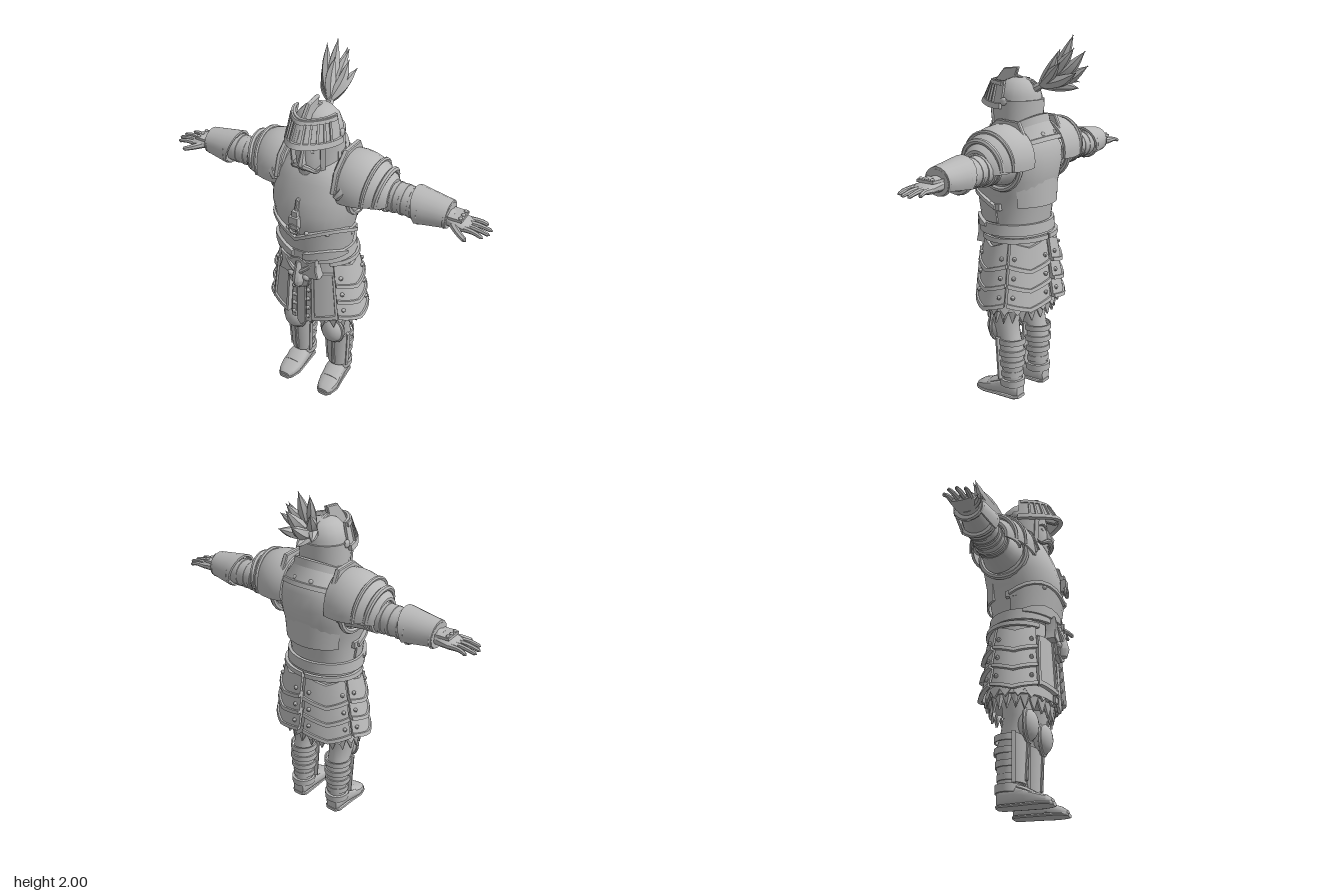
import * as THREE from 'three';
import { toCreasedNormals } from 'three/addons/utils/BufferGeometryUtils.js';

const grey = new THREE.MeshStandardMaterial({ color: 0xb8b8b8 });
grey.name = 'plain grey';
const V = (p) => new THREE.Vector3(...p);
const lerp = THREE.MathUtils.lerp;

// Moves every vertex of a geometry by a rule
function move(geo, rule) {
  const p = geo.attributes.position;
  for (let i = 0; i < p.count; i++) p.setXYZ(i, ...rule(p.getX(i), p.getY(i), p.getZ(i), i));
  return geo;
}
// Solid through elliptical sections [position, centreP, centreR, radiusP, radiusR] along an axis
function loft(sections, axis = 'y', seg = 20, power = 1) {
  const n = sections.length - 1;
  const shape = (c) => Math.sign(c) * Math.abs(c) ** power;
  return move(new THREE.CylinderGeometry(1, 1, 1, seg, n), (x, y, z) => {
    const [q, cp, cr, rp, rr] = sections[Math.round((y + 0.5) * n)];
    const a = cp + rp * shape(x), b = cr + rr * shape(z);
    return axis === 'y' ? [a, q, b] : axis === 'x' ? [q, b, a] : [b, a, q];
  });
}
// Curved plate: u runs along its width, v up, t through its thickness
const sheet = (nu, nv, rule) => move(new THREE.BoxGeometry(1, 1, 1, nu, nv, 1),
  (x, y, z) => rule(x + 0.5, y + 0.5, z + 0.5));
// Plate round a vertical axis; edges are [y, rx, rz] or a function of u; angles from the front
function wrap(a0, a1, bottom, top, { cx = 0, cz = 0.05, th = 0.015, nu = 0, nv = 2 } = {}) {
  const edge = (e, u) => (typeof e === 'function' ? e(u) : e);
  return sheet(nu || Math.max(2, Math.ceil((a1 - a0) / 12)), nv, (u, v, t) => {
    const b = edge(bottom, u), c = edge(top, u), a = lerp(a0, a1, u) * Math.PI / 180;
    return [cx + (lerp(b[1], c[1], v) + t * th) * Math.sin(a), lerp(b[0], c[0], v),
      cz + (lerp(b[2], c[2], v) + t * th) * Math.cos(a)];
  });
}
// Tube along points with a radius rule
function tube(points, r, taper = () => 1, n = 10, sides = 7) {
  const curve = new THREE.CatmullRomCurve3(points.map(V));
  return move(new THREE.TubeGeometry(curve, n, r, sides), (x, y, z, i) => {
    const t = Math.floor(i / (sides + 1)) / n, c = curve.getPointAt(t);
    return new THREE.Vector3(x, y, z).sub(c).multiplyScalar(taper(t)).add(c).toArray();
  });
}
const outline = (pts) => new THREE.Shape(pts.map((p) => new THREE.Vector2(...p)));
const extrude = (pts, depth) => new THREE.ExtrudeGeometry(outline(pts), { depth, bevelEnabled: true, bevelSize: 0.005, bevelThickness: 0.005, bevelSegments: 1 });
// Outline given in (z, y), extruded across x
const profile = (pts, x, w) => extrude(pts, w).translate(0, 0, -w / 2).rotateY(-Math.PI / 2).translate(x, 0, 0);
const ball = (p, r, s = [1, 1, 1], seg = 10) => new THREE.SphereGeometry(r, seg, Math.ceil(seg * 0.7)).scale(...s).translate(...p);
const box = (p, s) => new THREE.BoxGeometry(...s).translate(...p);

export function createModel() {
  const model = new THREE.Group();
  model.name = 'armouredKnight';
  const add = (name, geo) => {
    const mesh = new THREE.Mesh(toCreasedNormals(geo, 0.65), grey);
    mesh.name = name;
    model.add(mesh);
    return mesh;
  };
  // Adds a part on the left and its mirror image on the right
  const pair = (name, geo) => {
    const left = add('left ' + name, geo), g = left.geometry.clone();
    for (const key of ['position', 'normal']) {
      const at = g.attributes[key], src = left.geometry.attributes[key];
      for (let i = 0; i < at.count; i++) {
        const j = i % 3 === 0 ? i : i % 3 === 1 ? i + 1 : i - 1;
        at.setXYZ(i, -src.getX(j), src.getY(j), src.getZ(j));
      }
    }
    const right = new THREE.Mesh(g, grey);
    right.name = 'right ' + name;
    model.add(right);
  };

  // Torso
  add('breastplate', loft([[1.0, 0, 0.075, 0.195, 0.17], [1.1, 0, 0.075, 0.2, 0.185], [1.18, 0, 0.075, 0.215, 0.2],
    [1.26, 0, 0.068, 0.235, 0.21], [1.34, 0, 0.05, 0.24, 0.205], [1.42, 0, 0.04, 0.235, 0.185], [1.48, 0, 0.035, 0.19, 0.16], [1.53, 0, 0.04, 0.12, 0.11]], 'y', 28, 0.9));
  add('chestRidge', profile([[0.2, 1.36], [0.265, 1.34], [0.293, 1.25], [0.282, 1.18], [0.265, 1.06], [0.2, 1.06]], 0, 0.008));
  const bellyTop = (u) => [1.13 + 0.06 * Math.abs(Math.sin(u * Math.PI * 2)), 0.213, 0.203];
  add('bellyPlate', wrap(-95, 95, [1.03, 0.196, 0.18], bellyTop, { cz: 0.072, th: 0.012 }));
  add('bellyRim', wrap(-95, 95, (u) => [bellyTop(u)[0] - 0.02, 0.215, 0.203], bellyTop, { cz: 0.072, th: 0.022, nv: 1 }));
  add('backPlate', wrap(125, 235, [1.12, 0.2, 0.19], [1.4, 0.235, 0.19], { cz: 0.06, th: 0.012 }));
  add('chestClasp', box([0, 1.225, 0.295], [0.05, 0.07, 0.03]));
  add('claspRing', new THREE.TorusGeometry(0.026, 0.009, 6, 12).translate(0, 1.19, 0.305));
  add('claspStrap', box([0, 1.265, 0.287], [0.03, 0.05, 0.025]));
  pair('sideBuckle', box([0.2, 1.12, 0.06], [0.04, 0.035, 0.06]));
  pair('armholeRim', new THREE.TorusGeometry(0.13, 0.016, 7, 24).rotateY(Math.PI / 2).translate(0.222, 1.355, 0.02));
  [[0.11, 1.08, 0.228], [0.15, 1.16, 0.225], [0.055, 1.16, 0.272]].forEach((p) => pair('bellyStud', ball(p, 0.012)));

  // Collar
  const rad = (u) => Math.cos((u - 0.5) * 2 * Math.PI);
  const collarLow = (u) => [1.405 - 0.075 * rad(u), 0.205, 0.18];
  const collarTop = (u) => [1.49 - 0.07 * rad(u), 0.14, 0.135];
  add('collar', wrap(-180, 180, collarLow, collarTop, { cz: 0.045, th: 0.018 }));
  add('collarRim', wrap(-180, 180, (u) => [collarLow(u)[0] - 0.008, 0.212, 0.187], (u) => [collarLow(u)[0] + 0.014, 0.203, 0.178], { cz: 0.045, th: 0.022, nv: 1 }));
  add('neckBand', wrap(-180, 180, collarTop, (u) => [1.53 - 0.07 * rad(u), 0.132, 0.127], { cz: 0.045, th: 0.018, nv: 1 }));
  add('collarStud', ball([0, 1.365, 0.222], 0.015));
  [[0.09, 1.37, 0.2], [0.15, 1.4, 0.15], [0.13, 1.475, -0.085], [0.05, 1.5, -0.125]].forEach((p) => pair('collarStud', ball(p, 0.014)));
  pair('collarClasp', tube([[0.2, 1.46, 0.13], [0.205, 1.41, 0.165], [0.175, 1.37, 0.19]], 0.024, (t) => 0.7 + 0.5 * Math.sin(t * Math.PI)));

  // Shoulders
  const dome = (x0, x1, R, drop) => sheet(18, 6, (u, v, t) => {
    const a = (u - 0.5) * 2 * 1.75, r = R * Math.sqrt(1 - ((v - 0.3) / 0.9) ** 2) + t * 0.015;
    return [lerp(x0, x1, v), 1.375 - drop + r * Math.cos(a), 0.02 + 0.93 * r * Math.sin(a)];
  });
  pair('shoulderPlate', dome(0.14, 0.375, 0.172, 0));
  pair('lowerShoulderPlate', dome(0.29, 0.415, 0.125, 0.012));
  const arc = (x, flare, R) => Array.from({ length: 9 }, (_, i) => {
    const a = (i / 8 - 0.5) * 3.5;
    return [x + flare * Math.cos(a), 1.375 + R * Math.cos(a), 0.02 + R * 0.95 * Math.sin(a)];
  });
  pair('shoulderRim', tube(arc(0.365, 0.025, 0.125), 0.015, () => 1, 20));
  pair('shoulderBand', tube(arc(0.31, 0.02, 0.162), 0.011, () => 1, 20));
  pair('neckGuard', profile([[0.2, 1.4], [0.165, 1.5], [0.07, 1.575], [-0.06, 1.57], [-0.11, 1.47], [0.05, 1.4]], 0.165, 0.018));

  // Arms, gauntlets and hands
  pair('arm', loft([[0.18, 0.02, 1.36, 0.125, 0.12], [0.28, 0.01, 1.36, 0.1, 0.1], [0.37, 0.005, 1.355, 0.085, 0.082], [0.45, 0.005, 1.36, 0.08, 0.077],
    [0.55, 0.005, 1.355, 0.082, 0.075], [0.66, 0.01, 1.35, 0.062, 0.052], [0.74, 0.015, 1.345, 0.045, 0.035]], 'x', 18));
  [[0.35, 0.093], [0.385, 0.092], [0.425, 0.085], [0.47, 0.083], [0.52, 0.083]].forEach(([x, r], i) => pair('armBand',
    loft([[x - 0.012, 0.005, 1.357, r - 0.008, r - 0.01], [x - 0.008, 0.005, 1.357, r, r - 0.003], [x + 0.008, 0.005, 1.357, r, r - 0.003], [x + 0.012, 0.005, 1.357, r - 0.008, r - 0.01]], 'x', 18)));
  pair('gauntletCuff', sheet(12, 3, (u, v, t) => {
    const a = (u - 0.5) * 4.2, r = lerp(0.093, 0.065, v) + t * 0.013;
    return [lerp(0.55 - 0.025 * Math.cos(a), 0.715, v), 1.355 + r * Math.cos(a) * 0.95, 0.01 + r * Math.sin(a)];
  }));
  [[0.575, 0.093], [0.705, 0.072]].forEach(([x, r]) => pair('gauntletRim', loft([[x - 0.011, 0.01, 1.352, r, r * 0.9], [x, 0.01, 1.352, r + 0.01, r * 0.95], [x + 0.011, 0.01, 1.352, r, r * 0.9]], 'x', 16)));
  pair('hand', loft([[0.7, 0.015, 1.347, 0.05, 0.033], [0.75, 0.015, 1.343, 0.06, 0.03], [0.8, 0.018, 1.337, 0.062, 0.024], [0.83, 0.018, 1.333, 0.055, 0.014]], 'x', 14, 0.8));
  pair('handPlate', box([0.755, 1.371, 0.015], [0.075, 0.014, 0.1]));
  [-0.02, 0.015, 0.05].forEach((z) => pair('knuckleStud', ball([0.78, 1.378, z], 0.011, [1, 1, 1], 8)));
  const tip = (t) => (t > 0.99 ? 0 : 1 - 0.4 * t);
  [[-0.03, -0.045, 0.895], [0.002, -0.005, 0.93], [0.034, 0.035, 0.93], [0.062, 0.075, 0.91]].forEach(([z0, z1, x]) =>
    pair('finger', tube([[0.8, 1.337, z0], [0.86, 1.338, (z0 + z1) / 2], [x, 1.325, z1]], 0.0155, tip)));
  pair('thumb', tube([[0.745, 1.34, 0.055], [0.79, 1.33, 0.095], [0.845, 1.315, 0.125]], 0.02, tip));

  // Head
  add('face', loft([[1.4, 0, 0.15, 0.02, 0.03], [1.44, 0, 0.13, 0.055, 0.075], [1.5, 0, 0.11, 0.078, 0.1], [1.56, 0, 0.1, 0.085, 0.112], [1.62, 0, 0.1, 0.085, 0.1], [1.68, 0, 0.1, 0.08, 0.1]], 'y', 18));
  add('nose', loft([[1.52, 0, 0.215, 0.02, 0.026], [1.535, 0, 0.215, 0.02, 0.03], [1.61, 0, 0.195, 0.009, 0.014]], 'y', 8));
  add('beard', loft([[1.4, 0, 0.18, 0.012, 0.012], [1.43, 0, 0.175, 0.035, 0.035], [1.48, 0, 0.165, 0.045, 0.04]], 'y', 10));
  add('lowerLip', ball([0, 1.493, 0.203], 0.016, [1.3, 0.5, 0.8]));
  pair('moustache', tube([[0, 1.518, 0.222], [0.035, 1.513, 0.218], [0.07, 1.49, 0.19], [0.09, 1.515, 0.165]], 0.015, (t) => 1 - t ** 2));
  pair('eye', ball([0.036, 1.592, 0.185], 0.013, [1.3, 0.8, 0.8]));
  pair('eyebrow', tube([[0.012, 1.61, 0.203], [0.04, 1.622, 0.195], [0.07, 1.608, 0.165]], 0.01, (t) => 1 - 0.6 * t));

  // Helmet
  add('helmetDome', loft([[1.64, 0, 0.055, 0.128, 0.12], [1.69, 0, 0.055, 0.124, 0.117], [1.73, 0, 0.055, 0.108, 0.105], [1.765, 0, 0.055, 0.075, 0.075], [1.78, 0, 0.055, 0.03, 0.035]], 'y', 16));
  add('helmetBack', wrap(75, 285, [1.5, 0.122, 0.105], [1.67, 0.122, 0.112], { cz: 0.055 }));
  add('neckFlare', wrap(85, 275, [1.5, 0.14, 0.125], [1.56, 0.126, 0.11], { cz: 0.055, nv: 1 }));
  pair('cheekGuard', wrap(38, 100, (u) => [1.43 + 0.05 * u, 0.112, 0.11], [1.66, 0.123, 0.13], { cz: 0.06 }));
  pair('cheekRim', wrap(36, 46, [1.44, 0.118, 0.115], [1.65, 0.128, 0.135], { cz: 0.06, th: 0.02 }));
  pair('helmetHinge', ball([0.135, 1.665, 0.06], 0.022, [0.6, 1, 1]));
  const beak = (u, a0, a1) => 0.055 * Math.max(0, Math.cos(lerp(a0, a1, u) * Math.PI / 180)) ** 4;
  const visorBand = (a0, a1, y0, y1, th) => {
    const at = (y) => (u) => {
      const k = (y - 1.63) / 0.15, b = beak(u, a0, a1);
      return [y + 0.4 * b * (1 - k), lerp(0.13, 0.1, k), lerp(0.155, 0.115, k) + b * (1 - 0.6 * k)];
    };
    return wrap(a0, a1, at(y0), at(y1), { cz: 0.06, th, nv: 3 });
  };
  add('visor', visorBand(-85, 85, 1.63, 1.77, 0.014));
  add('visorBrow', visorBand(-85, 85, 1.627, 1.655, 0.027));
  add('visorTopBand', visorBand(-80, 80, 1.745, 1.765, 0.022));
  [11, 23, 35, 47, 59].forEach((a) => pair('visorBar', visorBand(a, a + 4, 1.65, 1.75, 0.024)));
  add('helmetCrest', profile([[0.275, 1.655], [0.24, 1.72], [0.15, 1.82], [0.065, 1.83], [0.08, 1.79], [-0.045, 1.755], [-0.05, 1.72], [0.1, 1.71], [0.25, 1.64]], 0, 0.014));

  // Plume: each feather is [middle, tip, width]
  add('plumeHolder', tube([[0, 1.71, -0.02], [-0.005, 1.735, -0.055], [-0.015, 1.75, -0.085]], 0.026, (t) => 1 - 0.3 * t));
  [[[-0.05, 1.86, -0.17], [-0.06, 2.0, -0.235], 0.034], [[-0.08, 1.86, -0.16], [-0.105, 1.98, -0.205], 0.03],
    [[-0.02, 1.84, -0.18], [-0.015, 1.94, -0.27], 0.032], [[0.015, 1.83, -0.15], [0.025, 1.92, -0.2], 0.028],
    [[0.02, 1.8, -0.15], [0.055, 1.87, -0.23], 0.028], [[-0.04, 1.82, -0.21], [-0.05, 1.925, -0.315], 0.036],
    [[-0.09, 1.82, -0.17], [-0.135, 1.9, -0.24], 0.032], [[-0.06, 1.785, -0.21], [-0.08, 1.85, -0.315], 0.036],
    [[-0.01, 1.775, -0.2], [0.01, 1.82, -0.3], 0.034], [[-0.09, 1.775, -0.16], [-0.135, 1.76, -0.23], 0.03],
    [[-0.05, 1.745, -0.18], [-0.07, 1.735, -0.27], 0.032], [[-0.04, 1.84, -0.13], [-0.04, 1.93, -0.17], 0.03]].forEach(([mid, end, w]) =>
    add('feather', tube([[-0.01, 1.745, -0.07], mid, end], w, (t) => 0.25 + 0.75 * Math.sin(Math.PI * Math.min(1, t * 0.85 + 0.1)) - 0.46 * t ** 4, 10, 6)));

  // Belt and lion buckle
  add('belt', wrap(-180, 180, [0.965, 0.208, 0.18], [1.025, 0.202, 0.177], { cz: 0.072, th: 0.016, nv: 1 }));
  pair('beltWing', wrap(8, 75, (u) => [0.985 + 0.02 * u, 0.208, 0.185], (u) => [1.02 + 0.03 * Math.sin(u * Math.PI), 0.208, 0.188], { cz: 0.072, th: 0.022, nv: 1 }));
  add('lionMane', extrude([[0, 0.985], [0.05, 0.96], [0.105, 0.995], [0.1, 0.93], [0.115, 0.88], [0.07, 0.87], [0.05, 0.81], [0, 0.785],
    [-0.05, 0.81], [-0.07, 0.87], [-0.115, 0.88], [-0.1, 0.93], [-0.105, 0.995], [-0.05, 0.96]], 0.05).translate(0, 0, 0.215));
  add('lionMuzzle', loft([[0.81, 0, 0.27, 0.025, 0.03], [0.85, 0, 0.27, 0.036, 0.042], [0.89, 0, 0.265, 0.026, 0.037], [0.96, 0, 0.26, 0.017, 0.02]], 'y', 10));
  pair('lionBrow', tube([[0.015, 0.9, 0.275], [0.045, 0.925, 0.273], [0.085, 0.965, 0.262]], 0.014, (t) => 1.1 - 0.6 * t));
  pair('lionCheek', ball([0.045, 0.865, 0.262], 0.025, [1, 0.8, 0.9]));

  // Skirt of cloth and plates
  const rx = (y) => 0.205 + (0.97 - y) * 0.14, rz = (y) => 0.165 + (0.97 - y) * 0.05;
  const ring = (y, out = 0) => [y, rx(y) + out, rz(y) + out];
  add('skirt', loft([0.55, 0.7, 0.85, 0.98].map((y) => [y, 0, 0.05, rx(y) - 0.01, rz(y) - 0.005]), 'y', 28));
  const hem = (teeth, low, high, out) => wrap(-180, 180, (u) => ring(low + (high - low) * Math.abs(((u * teeth) % 1) * 2 - 1), out), ring(0.6, -0.02), { cz: 0.045, th: 0.012, nu: teeth * 2, nv: 1 });
  add('tornHem', hem(22, 0.475, 0.54, -0.045));
  add('upperHem', hem(18, 0.53, 0.575, -0.015));
  const lame = (name, a0, a1, k, dip) => {
    const low = 0.805 - 0.105 * k, vee = (u) => low - dip * (1 - Math.abs(u * 2 - 1));
    const opts = { nu: 8, th: 0.016 };
    pair(name, wrap(a0, a1, (u) => ring(vee(u), 0.012), (u) => ring(vee(u) + 0.13, -0.004), opts));
    pair(name + 'Rim', wrap(a0, a1, (u) => ring(vee(u) - 0.004, 0.016), (u) => ring(vee(u) + 0.016, 0.013), { ...opts, th: 0.023, nv: 1 }));
    [0.12, 0.88].forEach((u) => {
      const a = lerp(a0, a1, u) * Math.PI / 180, y = low + 0.045;
      pair('skirtStud', ball([(rx(y) + 0.026) * Math.sin(a), y, 0.05 + (rz(y) + 0.026) * Math.cos(a)], 0.012, [1, 1, 1], 8));
    });
  };
  for (let k = 2; k >= 0; k--) {
    lame('sidePlate', 46, 112, k, 0.035);
    lame('backSkirtPlate', 116, 177, k, 0.035);
  }
  pair('skirtStrap', wrap(40, 178, ring(0.93, 0.005), ring(0.955, 0.005), { th: 0.018, nv: 1 }));
  pair('frontPlate', wrap(15, 45, (u) => ring(0.575 + 0.025 * u, 0.012), ring(0.88, 0.008), { th: 0.018 }));
  [[15, 18], [42, 45]].forEach(([a, b]) => pair('frontPlateEdge', wrap(a, b, ring(0.59, 0.014), ring(0.87, 0.01), { th: 0.026 })));
  pair('frontPlateHem', wrap(15, 45, (u) => ring(0.572 + 0.025 * u, 0.014), (u) => ring(0.595 + 0.025 * u, 0.014), { th: 0.026, nv: 1 }));
  add('centreStrip', wrap(-5, 5, (u) => ring(0.53 - 0.03 * (1 - Math.abs(u * 2 - 1)), 0.004), ring(0.85, 0.008), { nu: 4 }));
  pair('studdedStrip', wrap(7, 13, ring(0.54, 0.002), ring(0.85, 0.006)));
  [0.58, 0.64, 0.7, 0.76].forEach((y) => pair('stripStud', ball([0.044, y, 0.055 + rz(y) + 0.014], 0.013, [1, 1, 0.8], 8)));

  // Legs
  pair('leg', loft([[0.05, 0.125, 0.015, 0.05, 0.05], [0.12, 0.125, 0.015, 0.052, 0.05], [0.2, 0.125, 0.02, 0.062, 0.062], [0.29, 0.125, 0.025, 0.068, 0.072],
    [0.37, 0.125, 0.045, 0.066, 0.068], [0.45, 0.123, 0.065, 0.074, 0.075], [0.58, 0.115, 0.065, 0.09, 0.09]], 'y', 16));
  pair('kneePlate', ball([0.125, 0.415, 0.115], 0.075, [0.92, 1.15, 0.8], 16));
  pair('kneeRim', new THREE.TorusGeometry(0.072, 0.011, 7, 20).scale(0.95, 1.18, 1).translate(0.125, 0.415, 0.12));
  pair('greave', wrap(-70, 70, [0.12, 0.054, 0.06], (u) => [0.34 + 0.03 * Math.abs(u * 2 - 1), 0.068, 0.072], { cx: 0.125, cz: 0.03 }));
  [-70, 58].forEach((a) => pair('greaveEdge', wrap(a, a + 12, [0.115, 0.056, 0.062], [0.37, 0.07, 0.074], { cx: 0.125, cz: 0.03, th: 0.022 })));
  pair('shinRidge', profile([[0.09, 0.13], [0.112, 0.14], [0.122, 0.33], [0.1, 0.33]], 0.125, 0.01));
  [[0.15, 0.056], [0.215, 0.065], [0.28, 0.071], [0.345, 0.07]].forEach(([y, r]) => pair('calfStrap',
    wrap(65, 295, [y - 0.016, r, r + 0.002], [y + 0.016, r, r + 0.002], { cx: 0.125, cz: 0.025, th: 0.008, nv: 1 })));
  pair('ankleCuff', wrap(-180, 180, [0.075, 0.054, 0.055], [0.115, 0.056, 0.056], { cx: 0.125, cz: 0.02, nv: 1 }));

  // Feet
  pair('boot', loft([[-0.035, 0.05, 0.125, 0.04, 0.035], [-0.015, 0.06, 0.125, 0.055, 0.05], [0.06, 0.06, 0.125, 0.055, 0.056], [0.11, 0.05, 0.128, 0.045, 0.06],
    [0.17, 0.036, 0.132, 0.033, 0.062], [0.22, 0.028, 0.134, 0.025, 0.05], [0.245, 0.02, 0.134, 0.016, 0.03]], 'z', 14, 0.75));
  pair('sole', loft([[-0.038, 0.01, 0.125, 0.01, 0.035], [-0.015, 0.01, 0.125, 0.01, 0.054], [0.1, 0.01, 0.128, 0.01, 0.06], [0.18, 0.01, 0.132, 0.01, 0.066], [0.23, 0.01, 0.134, 0.01, 0.05], [0.252, 0.01, 0.134, 0.01, 0.03]], 'z', 12, 0.6));
  pair('instepPlate', loft([[0.055, 0.105, 0.125, 0.02, 0.045], [0.11, 0.085, 0.128, 0.02, 0.055], [0.16, 0.062, 0.131, 0.015, 0.05]], 'z', 10));
  return model;
}
